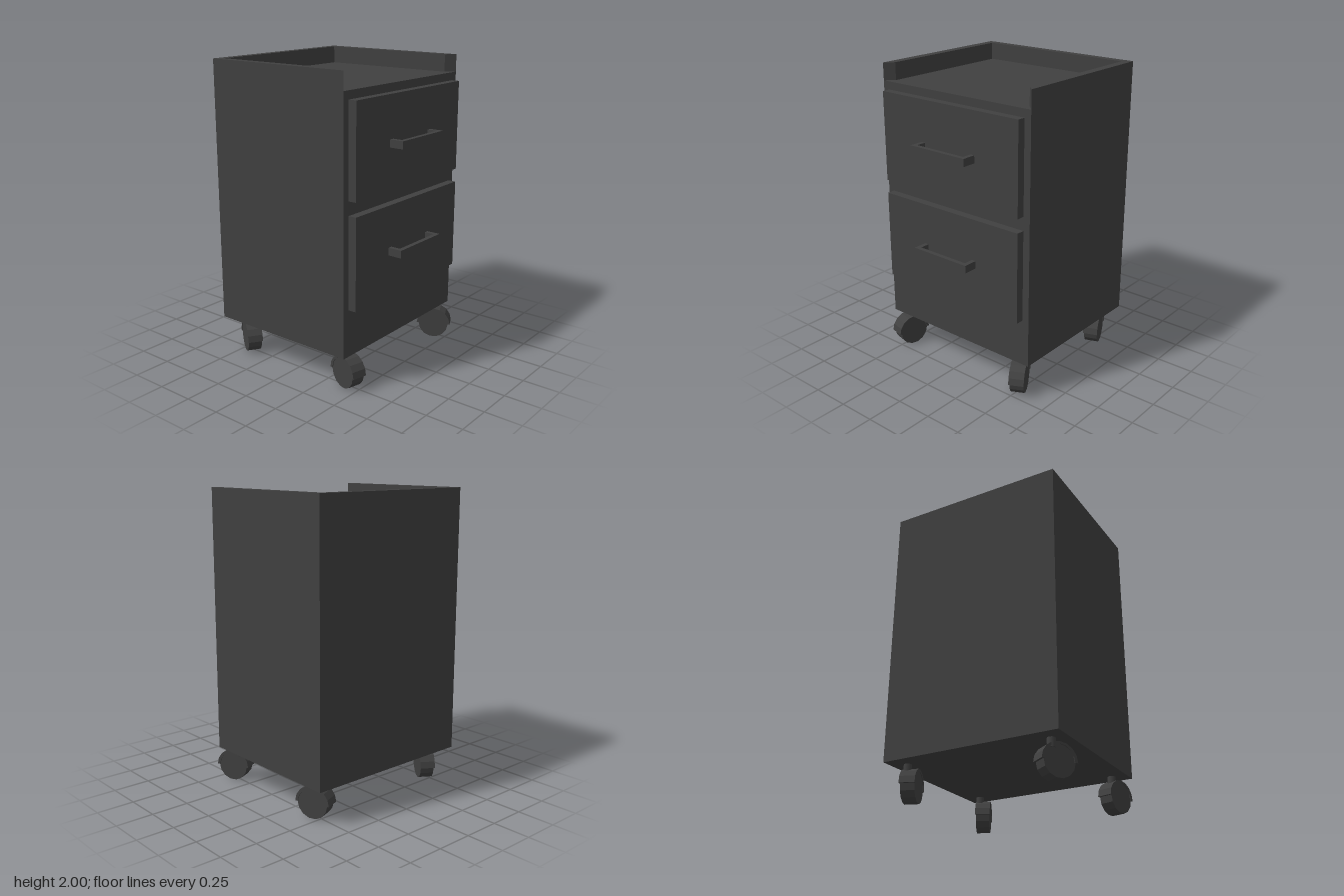
import * as THREE from 'three';

export function createModel() {
  const model = new THREE.Group();
  model.name = 'drawerCabinet';
  const charcoal = new THREE.MeshStandardMaterial({ color: 0x404040 });
  charcoal.name = 'charcoal';

  const add = (parent, name, geometry, x = 0, y = 0, z = 0) => {
    const mesh = new THREE.Mesh(geometry, charcoal);
    mesh.name = name;
    mesh.position.set(x, y, z);
    parent.add(mesh);
    return mesh;
  };
  const box = (parent, name, w, h, d, x, y, z) =>
    add(parent, name, new THREE.BoxGeometry(w, h, d), x, y, z);
  const extrude = (points, depth) => new THREE.ExtrudeGeometry(
    new THREE.Shape(points.map(([x, y]) => new THREE.Vector2(x, y))),
    { depth, bevelEnabled: false });

  // Cabinet body up to the tray floor
  box(model, 'cabinetBody', 1.2, 1.65, 1.06, 0, 1.06, -0.075);

  // Three-sided rim round the tray, with ends cut at an angle
  const rim = extrude([
    [-0.6, -0.455], [-0.545, -0.4], [-0.545, 0.553], [0.545, 0.553],
    [0.545, -0.4], [0.6, -0.455], [0.6, 0.605], [-0.6, 0.605],
  ], 0.115);
  rim.rotateX(-Math.PI / 2);
  add(model, 'trayRim', rim, 0, 1.885, 0);

  // Drawer fronts with bar handles
  for (const y of [0.845, 1.533]) {
    const drawer = new THREE.Group();
    drawer.name = 'drawer';
    drawer.position.y = y;
    box(drawer, 'drawerFront', 1.106, 0.598, 0.055, 0, 0, 0.4825);
    box(drawer, 'handleBar', 0.44, 0.05, 0.03, 0, 0, 0.59);
    for (const side of [-1, 1]) {
      box(drawer, 'handlePost', 0.03, 0.05, 0.065, side * 0.205, 0, 0.5425);
    }
    model.add(drawer);
  }

  // Wheel with its axle along x
  const wheel = new THREE.CylinderGeometry(0.104, 0.104, 0.09, 14).toNonIndexed();
  wheel.rotateZ(Math.PI / 2);
  wheel.computeVertexNormals();

  // Arched hood over the wheel, flared at its ends
  const arc = (rx, ry) => Array.from({ length: 9 }, (_, i) => {
    const a = (i / 8) * Math.PI;
    return [rx * Math.cos(a), ry * Math.sin(a)];
  });
  const hood = extrude([...arc(0.118, 0.114), ...arc(0.098, 0.1).reverse()], 0.1);
  hood.translate(0, 0, -0.05);
  hood.rotateY(Math.PI / 2);

  // Swivelled casters: side, stem z, swivel in degrees
  const casters = [[-1, 0.357, -13.5], [1, 0.357, 27], [-1, -0.493, -33], [1, -0.493, 21]];
  for (const [side, z, degrees] of casters) {
    const caster = new THREE.Group();
    caster.name = 'caster';
    caster.position.set(side * 0.497, 0, z + 0.05);
    add(caster, 'casterStem', new THREE.CylinderGeometry(0.026, 0.026, 0.06, 10), 0, 0.206, -0.05);
    const swivel = new THREE.Group();
    swivel.name = 'casterSwivel';
    swivel.rotation.y = THREE.MathUtils.degToRad(degrees);
    add(swivel, 'casterWheel', wheel, 0, 0.104, 0);
    add(swivel, 'casterHood', hood, 0, 0.102, 0);
    caster.add(swivel);
    model.add(caster);
  }
  return model;
}
